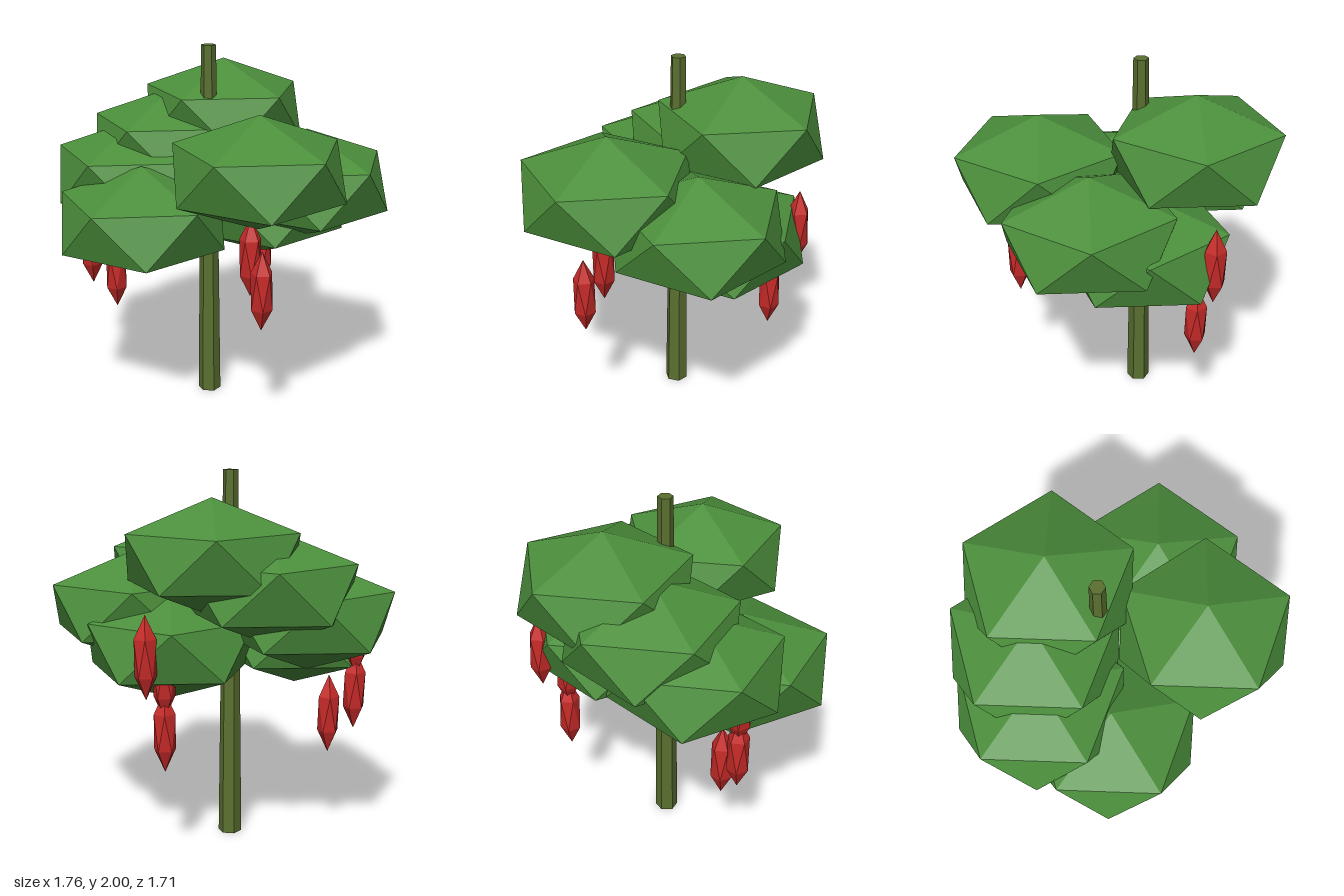
import * as THREE from 'three';

// Icosahedron standing on a corner, with an upper-ring corner towards +x
function facetedBall(radius, halfHeight) {
  const g = new THREE.IcosahedronGeometry(1, 0);
  g.rotateX(-Math.atan((1 + Math.sqrt(5)) / 2));
  g.rotateY(Math.PI / 2);
  g.scale(radius, halfHeight, radius);
  g.computeVertexNormals();
  return g;
}

export function createModel() {
  const model = new THREE.Group();
  const material = (color) => new THREE.MeshStandardMaterial({ color, flatShading: true });
  const bark = material(0x5a7030);
  const leaf = material(0x4c8f3c);
  const red = material(0xc62a28);

  const add = (name, geometry, mat, [x, y, z]) => {
    const mesh = new THREE.Mesh(geometry, mat);
    mesh.name = name;
    mesh.position.set(x, y, z);
    model.add(mesh);
  };

  // Tapered six-sided trunk
  const trunkX = -0.015, trunkZ = -0.105;
  add('trunk', new THREE.CylinderGeometry(0.04, 0.064, 2, 6), bark, [trunkX, 1, trunkZ]);

  // Foliage clumps spiralling up the trunk
  const clump = facetedBall(0.5, 0.297);
  [
    [-0.433, 1.102, -0.03],
    [0.32, 1.102, -0.1],
    [0.433, 1.268, 0.18],
    [-0.33, 1.268, -0.4],
    [-0.1, 1.425, -0.43],
    [0.03, 1.425, 0.425],
    [0.19, 1.583, -0.37],
  ].forEach((p) => add('foliageClump', clump, leaf, p));

  // Hanging pods in three directions: angle in degrees, distance from trunk, height of lower tip
  const podHalf = 0.215;
  const pod = facetedBall(0.065, podHalf);
  [
    [90, 0.67, 0.63], [90, 0.535, 0.77],
    [210, 0.67, 0.63], [210, 0.535, 0.49], [210, 0.67, 0.91],
    [330, 0.535, 0.49], [330, 0.535, 0.77], [330, 0.67, 0.9],
  ].forEach(([deg, r, tip]) => {
    const a = THREE.MathUtils.degToRad(deg);
    add('hangingPod', pod, red,
      [trunkX + r * Math.cos(a), tip + podHalf, trunkZ + r * Math.sin(a)]);
  });

  return model;
}
